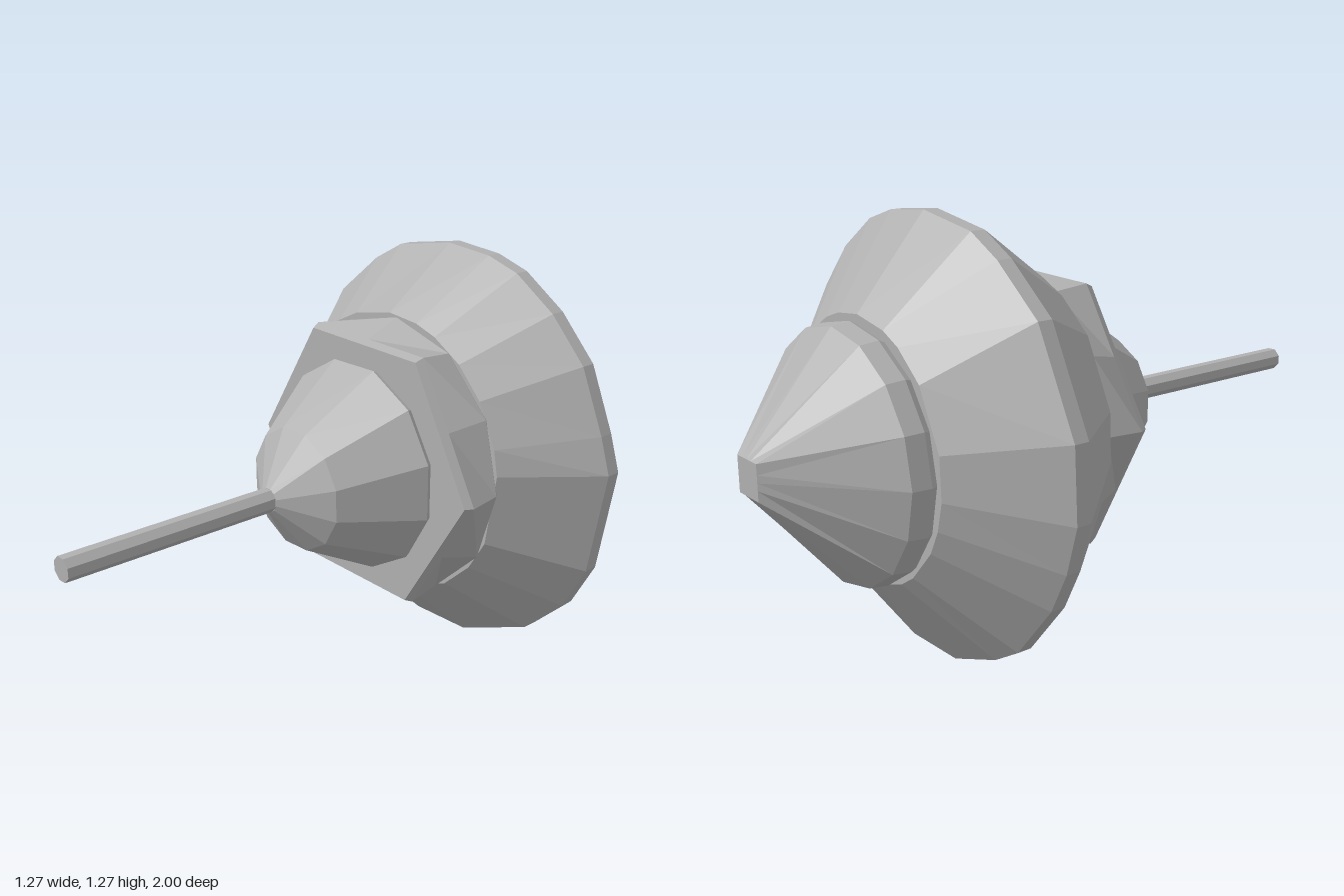
import * as THREE from 'three';

const AXIS_Y = 0.64;

// Skin through rings ordered from front (+z) to back, closed at both ends, one normal per facet
function loft(rings) {
  const pos = [];
  const tri = (...pts) => pts.forEach(p => pos.push(p.x, p.y, p.z));
  const n = rings[0].length;
  const middle = ring => ring.reduce((s, p) => s.add(p), new THREE.Vector3()).divideScalar(n);
  const first = rings[0], last = rings[rings.length - 1];
  const front = middle(first), back = middle(last);
  for (let i = 0; i < n; i++) {
    const j = (i + 1) % n;
    tri(front, first[i], first[j]);
    tri(back, last[j], last[i]);
    for (let k = 0; k < rings.length - 1; k++) {
      const a = rings[k], b = rings[k + 1];
      tri(a[i], b[i], a[j]);
      tri(a[j], b[i], b[j]);
    }
  }
  const geo = new THREE.BufferGeometry();
  geo.setAttribute('position', new THREE.Float32BufferAttribute(pos, 3));
  geo.computeVertexNormals();
  return geo;
}

// Evenly spaced angles, in radians
const angles = (n, startDeg = 0) =>
  Array.from({ length: n }, (_, i) => (i / n) * Math.PI * 2 + THREE.MathUtils.degToRad(startDeg));

// Ring at depth z; radius is a number or a function of the angle
function ring(list, z, radius, cy = AXIS_Y, cx = 0) {
  return list.map(a => {
    const r = typeof radius === 'function' ? radius(a) : radius;
    return new THREE.Vector3(cx + r * Math.cos(a), cy + r * Math.sin(a), z);
  });
}

// Radius of a regular polygon along a given angle
const polygon = (sides, R, rotDeg = 0) => a => {
  const step = (Math.PI * 2) / sides;
  const t = THREE.MathUtils.euclideanModulo(a - THREE.MathUtils.degToRad(rotDeg), step);
  return (R * Math.cos(step / 2)) / Math.cos(t - step / 2);
};

export function createModel() {
  const group = new THREE.Group();
  group.name = 'spinningTop';
  const grey = new THREE.MeshStandardMaterial({ color: 0xb0b0b0, flatShading: true });
  grey.name = 'grey';
  const add = (name, rings) => {
    const mesh = new THREE.Mesh(loft(rings), grey);
    mesh.name = name;
    group.add(mesh);
  };

  // Thin eight-sided spindle
  const eight = angles(8, 22.5);
  add('spindle', [ring(eight, 1, 0.036), ring(eight, 0.28, 0.036)]);

  // Faceted nose cone
  const twelve = angles(12, 15);
  add('nose', [
    ring(twelve, 0.33, 0.036),
    ring(twelve, 0.23, 0.185, 0.645),
    ring(twelve, 0, 0.322, 0.662),
    ring(twelve, -0.03, 0.31, 0.662),
  ]);

  // Collar: six-sided in front, rounder behind
  const collar = angles(12, -2);
  add('collar', [
    ring(collar, -0.015, polygon(6, 0.432, -2), 0.662, 0.008),
    ring(collar, -0.04, polygon(6, 0.445, -2), 0.662, 0.008),
    ring(collar, -0.15, 0.43, 0.664, 0.008),
    ring(collar, -0.18, 0.42, 0.662),
  ]);

  // Wide, slightly irregular disc: one rim outline shared by two rings
  const outline = [
    [0.635, 0.70], [0.6, 0.81], [0.52, 1.0], [0.4, 1.13], [0.26, 1.225], [0.15, 1.26], [-0.01, 1.275],
    [-0.22, 1.24], [-0.33, 1.18], [-0.49, 1.05], [-0.63, 0.77], [-0.64, 0.56], [-0.6, 0.42],
    [-0.54, 0.3], [-0.4, 0.13], [-0.3, 0.07], [-0.11, 0], [0.1, 0], [0.36, 0.105], [0.5, 0.235], [0.58, 0.38],
  ];
  const rimAngles = outline.map(([x, y]) => Math.atan2(y - AXIS_Y, x));
  const rim = z => outline.map(([x, y]) => new THREE.Vector3(x, y, z));
  add('disc', [
    ring(rimAngles, -0.152, 0.437, 0.665),
    rim(-0.405),
    rim(-0.45),
    ring(rimAngles, -0.665, 0.375, 0.645),
  ]);

  // Rear cone narrowing to a small square tip
  const sixteen = angles(16);
  add('rearCone', [
    ring(sixteen, -0.655, 0.35),
    ring(sixteen, -0.685, 0.364),
    ring(sixteen, -0.74, 0.357),
    ring(sixteen, -1, polygon(4, 0.072, 45)),
  ]);

  return group;
}
